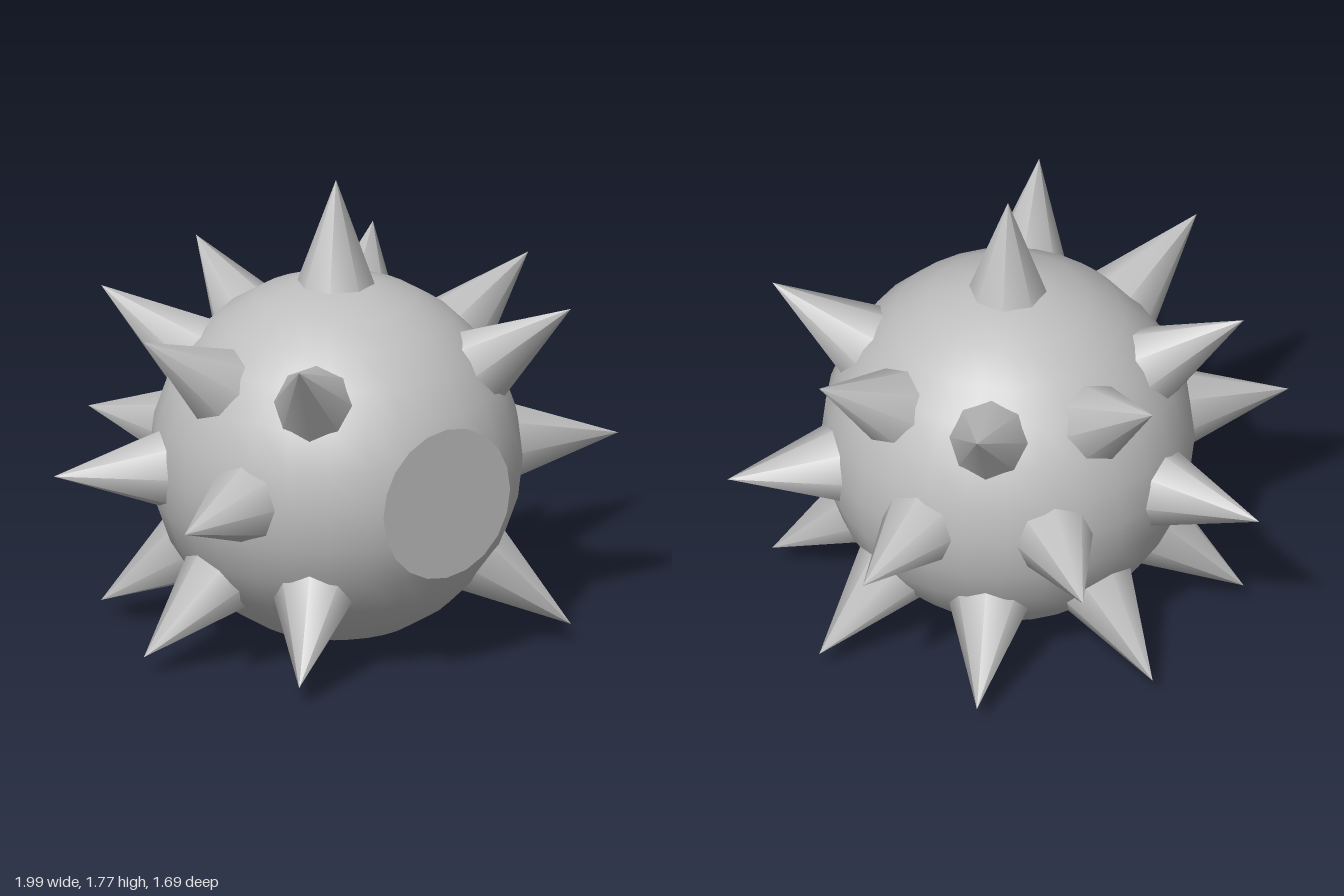
import * as THREE from 'three';

const CENTRE = new THREE.Vector3(0, 0.70, 0.15);
const RADIUS = 0.692;
const TIP = 1.075;      // distance of each spike tip from the centre
const BASE = 0.60;      // buried start of each spike
const UP = new THREE.Vector3(0, 1, 0);

export function createModel() {
  const grey = new THREE.MeshStandardMaterial({ color: 0xbfbfbf });
  grey.name = 'grey';

  const model = new THREE.Group();
  model.name = 'spikedBall';
  model.position.copy(CENTRE);

  // Round body
  const body = new THREE.Mesh(new THREE.SphereGeometry(RADIUS, 28, 14), grey);
  body.name = 'body';
  model.add(body);

  // Flat round plate just touching the front of the body
  const plate = new THREE.Mesh(new THREE.CircleGeometry(0.29, 20), grey);
  plate.name = 'frontPlate';
  plate.position.z = 0.697;
  model.add(plate);

  // Eight-sided spikes pointing away from the centre
  const height = TIP - BASE;
  const spikeGeometry = new THREE.ConeGeometry(0.172, height, 8, 1, true);
  spikeGeometry.translate(0, BASE + height / 2, 0);
  const addSpike = (name, elevation, azimuth) => {
    const e = THREE.MathUtils.degToRad(elevation);
    const a = THREE.MathUtils.degToRad(azimuth);
    const spike = new THREE.Mesh(spikeGeometry, grey);
    spike.name = name;
    // Lean towards +z, then turn around the vertical axis
    spike.rotation.x = Math.PI / 2 - e;
    const turn = new THREE.Group();
    turn.name = name + 'Mount';
    turn.quaternion.setFromAxisAngle(UP, a);
    turn.add(spike);
    model.add(turn);
  };

  addSpike('topSpike', 90, 0);
  // Upper and lower rings leave the front free
  for (let i = 1; i < 8; i++) {
    addSpike('upperSpike', 35, i * 45);
    addSpike('lowerSpike', -35, i * 45);
  }
  // Middle ring sits half a step round, with a gap for the plate
  for (let i = 1; i < 7; i++) addSpike('middleSpike', 0, 22.5 + i * 45);

  const root = new THREE.Group();
  root.name = 'model';
  root.add(model);
  return root;
}
